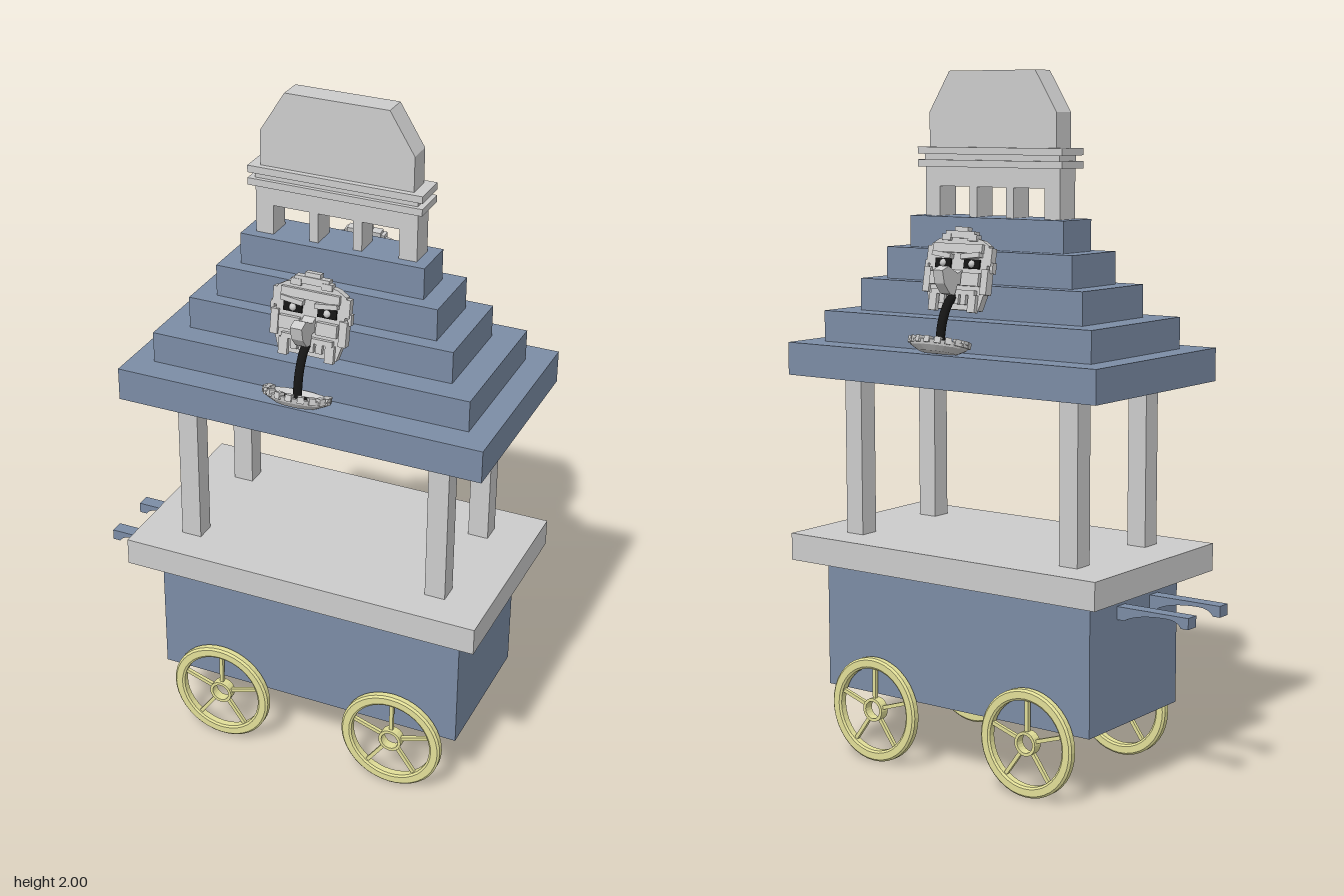
import * as THREE from 'three';

const CX = 0.077; // centre line of the cart body
const mat = (color, extra = {}) => new THREE.MeshStandardMaterial({ color, ...extra });
const grey = mat(0xcccccc);
const blue = mat(0x7b8ca5);
const yellow = mat(0xe2df98);
const black = mat(0x151515);

function add(parent, name, geometry, material, x = 0, y = 0, z = 0) {
  const mesh = new THREE.Mesh(geometry, material);
  mesh.name = name;
  mesh.position.set(x, y, z);
  parent.add(mesh);
  return mesh;
}

// Box given by centre x, z and size, standing between two heights
function slab(parent, name, material, x, z, w, d, y0, y1) {
  return add(parent, name, new THREE.BoxGeometry(w, y1 - y0, d), material, x, (y0 + y1) / 2, z);
}

// Flat outline extruded evenly around z = 0
function plate(shape, depth) {
  return new THREE.ExtrudeGeometry(shape, { depth, bevelEnabled: false, curveSegments: 10 }).translate(0, 0, -depth / 2);
}

const outline = (pts) => new THREE.Shape(pts.map(([x, y]) => new THREE.Vector2(x, y)));

// Ring turned about z from a closed radius / depth profile
function ring(profile, segments) {
  const pts = profile.map(([r, z]) => new THREE.Vector2(r, z));
  const g = new THREE.LatheGeometry(pts, segments).rotateX(Math.PI / 2).toNonIndexed();
  g.computeVertexNormals();
  return g;
}

function makeWheel() {
  const wheel = new THREE.Group();
  wheel.name = 'wheel';
  const h = 0.014;
  add(wheel, 'rim', ring([
    [0.123, -h * 0.7], [0.129, -h], [0.149, -h], [0.155, -h * 0.6],
    [0.155, h * 0.6], [0.149, h], [0.129, h], [0.123, h * 0.7], [0.123, -h * 0.7],
  ], 40), yellow);
  add(wheel, 'hub', ring([[0.026, -h], [0.035, -h], [0.035, h], [0.026, h], [0.026, -h]], 20), yellow);
  for (let i = 0; i < 5; i++) {
    const spoke = new THREE.BoxGeometry(0.011, 0.094, 0.011).translate(0, 0.079, 0);
    add(wheel, 'spoke', spoke, yellow).rotation.z = (i * Math.PI * 2) / 5;
  }
  return wheel;
}

function makeMask() {
  const mask = new THREE.Group();
  mask.name = 'maskOrnament';

  // Upper face, leaning back against the roof steps
  const face = new THREE.Group();
  face.name = 'face';
  face.position.set(0, 1.45, 0.185);
  face.rotation.x = -0.18;
  mask.add(face);
  const box = (name, x, y, z, w, h, d, m = grey) => add(face, name, new THREE.BoxGeometry(w, h, d), m, x, y, z);
  const facePlate = outline([
    [-0.085, -0.11], [0.085, -0.11], [0.1, -0.06], [0.1, 0.07],
    [0.075, 0.085], [0.03, 0.095], [-0.03, 0.095], [-0.075, 0.085], [-0.1, 0.07], [-0.1, -0.06],
  ]);
  add(face, 'facePlate', plate(facePlate, 0.022), grey);
  box('forehead', 0, 0.06, 0.014, 0.17, 0.025, 0.016);
  box('crestBase', 0, 0.098, 0.005, 0.1, 0.02, 0.024);
  box('crestTop', 0, 0.112, 0.003, 0.045, 0.016, 0.02);
  box('upperLip', 0, -0.062, 0.015, 0.15, 0.014, 0.018);
  for (const s of [-1, 1]) {
    box('brow', s * 0.05, 0.04, 0.018, 0.065, 0.014, 0.022).rotation.z = s * 0.12;
    box('eyeSocket', s * 0.05, 0.018, 0.012, 0.055, 0.026, 0.008, black);
    add(face, 'eye', new THREE.SphereGeometry(0.011, 10, 8), grey, s * 0.05, 0.018, 0.014);
    box('cheek', s * 0.055, -0.025, 0.016, 0.06, 0.036, 0.018);
    box('cheekSide', s * 0.1, -0.03, 0.006, 0.022, 0.07, 0.026);
    box('temple', s * 0.102, 0.04, 0, 0.02, 0.05, 0.022);
    box('ear', s * 0.113, 0.01, 0, 0.01, 0.03, 0.018);
    box('hornStud', s * 0.045, 0.09, 0.008, 0.03, 0.018, 0.022);
    box('fang', s * 0.068, -0.092, 0.015, 0.026, 0.048, 0.016);
    for (const x of [0.012, 0.037]) box('tooth', s * x, -0.082, 0.016, 0.018, 0.026, 0.012);
  }

  // Narrow projecting snout
  const snout = outline([
    [0, 0.01], [0.03, 0.0], [0.07, 0.022], [0.098, 0.012], [0.09, -0.025],
    [0.065, -0.055], [0.045, -0.06], [0.03, -0.03], [0, -0.04],
  ]);
  add(mask, 'snout', plate(snout, 0.034).rotateY(-Math.PI / 2), grey, 0, 1.445, 0.187);

  // Tongue bending down into the lower jaw
  const path = new THREE.CatmullRomCurve3([[1.385, 0.2], [1.37, 0.232], [1.32, 0.263], [1.24, 0.28]]
    .map(([y, z]) => new THREE.Vector3(0, y, z)));
  add(mask, 'tongue', new THREE.TubeGeometry(path, 12, 0.013, 8), black);

  // Lower jaw: a shallow tilted dish with a lip of blocks
  const jaw = new THREE.Group();
  jaw.name = 'lowerJaw';
  jaw.position.set(0, 1.243, 0.283);
  jaw.rotation.x = -0.3;
  mask.add(jaw);
  const dish = new THREE.LatheGeometry([[0, -0.016], [0.06, -0.014], [0.09, 0], [0.1, 0.014], [0.09, 0.016], [0.064, 0]]
    .map(([r, y]) => new THREE.Vector2(r, y)), 20).scale(1, 1, 0.58);
  add(jaw, 'jawDish', dish, mat(0xcccccc, { side: THREE.DoubleSide, flatShading: true }));
  const floor = new THREE.CylinderGeometry(0.066, 0.06, 0.006, 20).scale(1, 1, 0.58);
  add(jaw, 'mouthFloor', floor, black, 0, 0, 0);
  for (let i = 0; i < 11; i++) {
    const a = -0.25 + (i / 10) * (Math.PI + 0.5);
    const block = add(jaw, 'jawTooth', new THREE.BoxGeometry(0.018, 0.018, 0.02), grey,
      Math.cos(a) * 0.088, 0.014, Math.sin(a) * 0.05);
    block.rotation.y = Math.PI / 2 - a;
  }
  return mask;
}

export function createModel() {
  const model = new THREE.Group();
  model.name = 'marketCart';

  // Cart body and counter
  slab(model, 'cartBody', blue, CX, 0, 0.936, 0.444, 0.197, 0.58);
  slab(model, 'counter', grey, CX, 0, 1.076, 0.606, 0.58, 0.66);

  // Posts
  for (const sx of [-1, 1]) for (const sz of [-1, 1]) {
    slab(model, 'post', grey, CX + sx * 0.381, sz * 0.17, 0.06, 0.06, 0.66, 1.13);
  }

  // Stepped roof: width, depth, bottom, top
  const steps = [
    [1.076, 0.606, 1.13, 1.225], [0.936, 0.444, 1.225, 1.315], [0.78, 0.3, 1.315, 1.408],
    [0.652, 0.214, 1.408, 1.5], [0.54, 0.134, 1.5, 1.59],
  ];
  for (const [w, d, y0, y1] of steps) slab(model, 'roofStep', blue, CX, 0, w, d, y0, y1);

  // Open arcade on the roof
  slab(model, 'arcadeBeam', grey, CX, 0, 0.472, 0.074, 1.675, 1.73);
  for (const s of [-1, 1]) {
    slab(model, 'arcadeEndPillar', grey, CX + s * 0.21, 0, 0.052, 0.074, 1.59, 1.675);
    slab(model, 'arcadePillar', grey, CX + s * 0.064, 0, 0.026, 0.074, 1.59, 1.675);
  }

  // Mouldings and the cut-corner crown
  slab(model, 'mouldingLower', grey, CX, 0, 0.506, 0.104, 1.73, 1.75);
  slab(model, 'mouldingCore', grey, CX, 0, 0.472, 0.08, 1.75, 1.766);
  slab(model, 'mouldingUpper', grey, CX, 0, 0.506, 0.104, 1.766, 1.786);
  const crown = outline([[-0.222, 1.786], [0.222, 1.786], [0.222, 1.885], [0.15, 2], [-0.15, 2], [-0.222, 1.885]]);
  add(model, 'crown', plate(crown, 0.07), grey, CX);

  // Push handles with a hooked grip
  const handle = outline([[-0.38, 0.542], [-0.62, 0.542], [-0.62, 0.51], [-0.597, 0.51]]);
  handle.quadraticCurveTo(-0.585, 0.53, -0.55, 0.53);
  handle.quadraticCurveTo(-0.46, 0.53, -0.415, 0.505);
  handle.lineTo(-0.38, 0.505);
  for (const z of [-0.069, 0.098]) add(model, 'handle', plate(handle, 0.041), blue, 0, 0, z);

  // Wheels
  for (const x of [-0.196, 0.354]) for (const z of [-0.239, 0.239]) {
    const wheel = makeWheel();
    wheel.position.set(x, 0.155, z);
    model.add(wheel);
  }

  // Mask ornaments on the front and back of the roof
  for (const turn of [0, Math.PI]) {
    const mask = makeMask();
    mask.position.x = CX - 0.002;
    mask.rotation.y = turn;
    model.add(mask);
  }
  return model;
}
